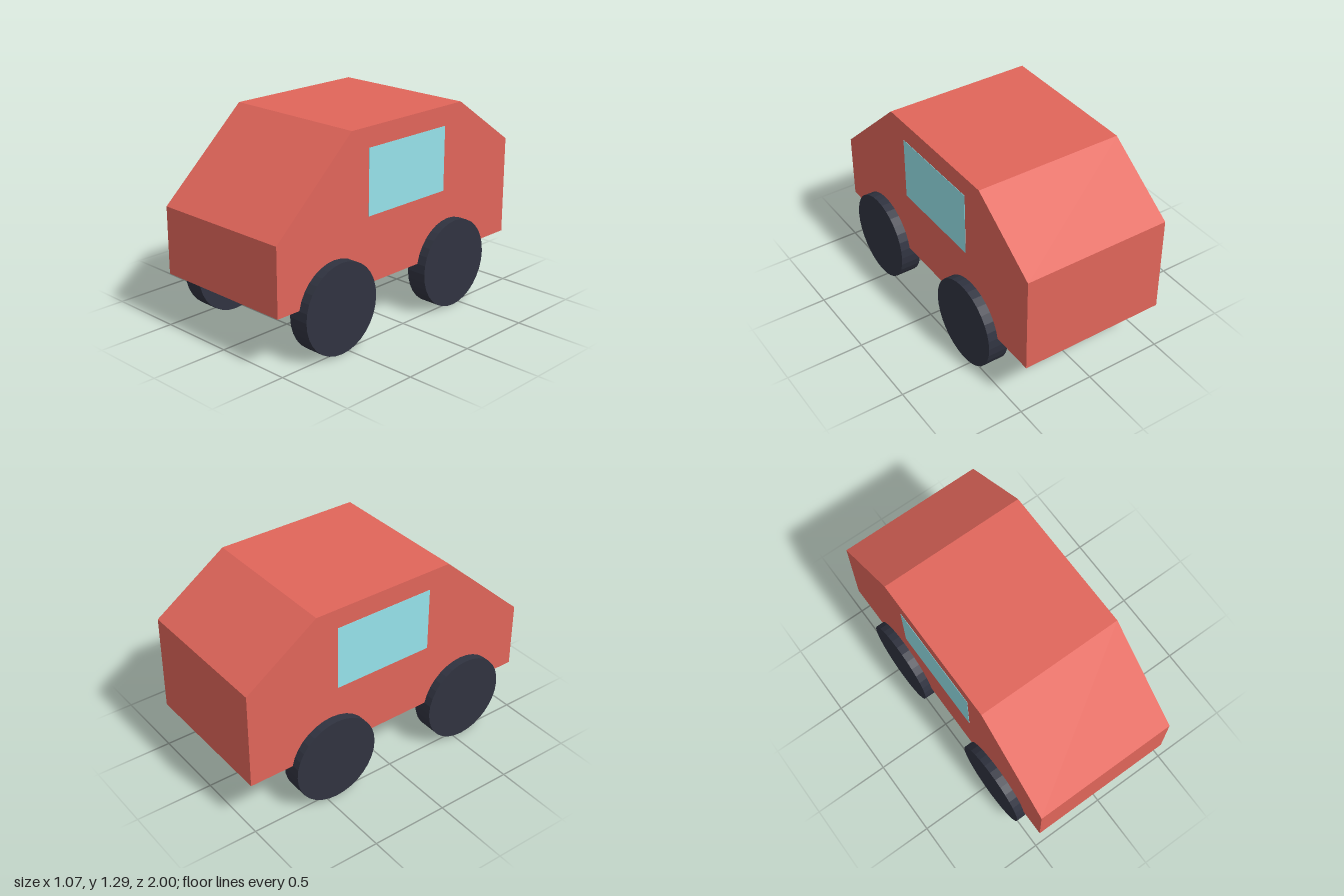
import * as THREE from 'three';

const paint = (color) => new THREE.MeshStandardMaterial({ color, flatShading: true });

export function createModel() {
  const car = new THREE.Group();
  car.name = 'car';
  const add = (name, geometry, material, x = 0, y = 0, z = 0) => {
    const mesh = new THREE.Mesh(geometry, material);
    mesh.name = name;
    mesh.position.set(x, y, z);
    car.add(mesh);
    return mesh;
  };

  // Body: side profile (z, y) extruded across the width
  const left = 0.47, right = -0.48;
  const profile = [
    [1, 0.34], [1, 0.765], [0.42, 1.29], [-0.53, 1.29], [-1, 0.965], [-1, 0.335],
  ].map(([z, y]) => new THREE.Vector2(z, y));
  const bodyGeometry = new THREE.ExtrudeGeometry(new THREE.Shape(profile), {
    depth: left - right, bevelEnabled: false,
  });
  bodyGeometry.rotateY(-Math.PI / 2);
  add('body', bodyGeometry, paint(0xe0655a), left);

  // Side windows, nearly flush with the body
  const windowGeometry = new THREE.BoxGeometry(0.004, 0.41, 0.665);
  const glass = paint(0x96e2ea);
  add('leftWindow', windowGeometry, glass, left, 0.96, -0.052);
  add('rightWindow', windowGeometry, glass, right, 0.96, -0.052);

  // Wheels: plain discs partly sunk into the body
  const radius = 0.2825;
  const wheelGeometry = new THREE.CylinderGeometry(radius, radius, 0.132, 32);
  wheelGeometry.rotateZ(Math.PI / 2);
  const rubber = paint(0x303340);
  for (const [end, z] of [['front', 0.56], ['rear', -0.435]]) {
    add(end + 'LeftWheel', wheelGeometry, rubber, 0.466, radius, z);
    add(end + 'RightWheel', wheelGeometry, rubber, -0.469, radius, z);
  }
  return car;
}
